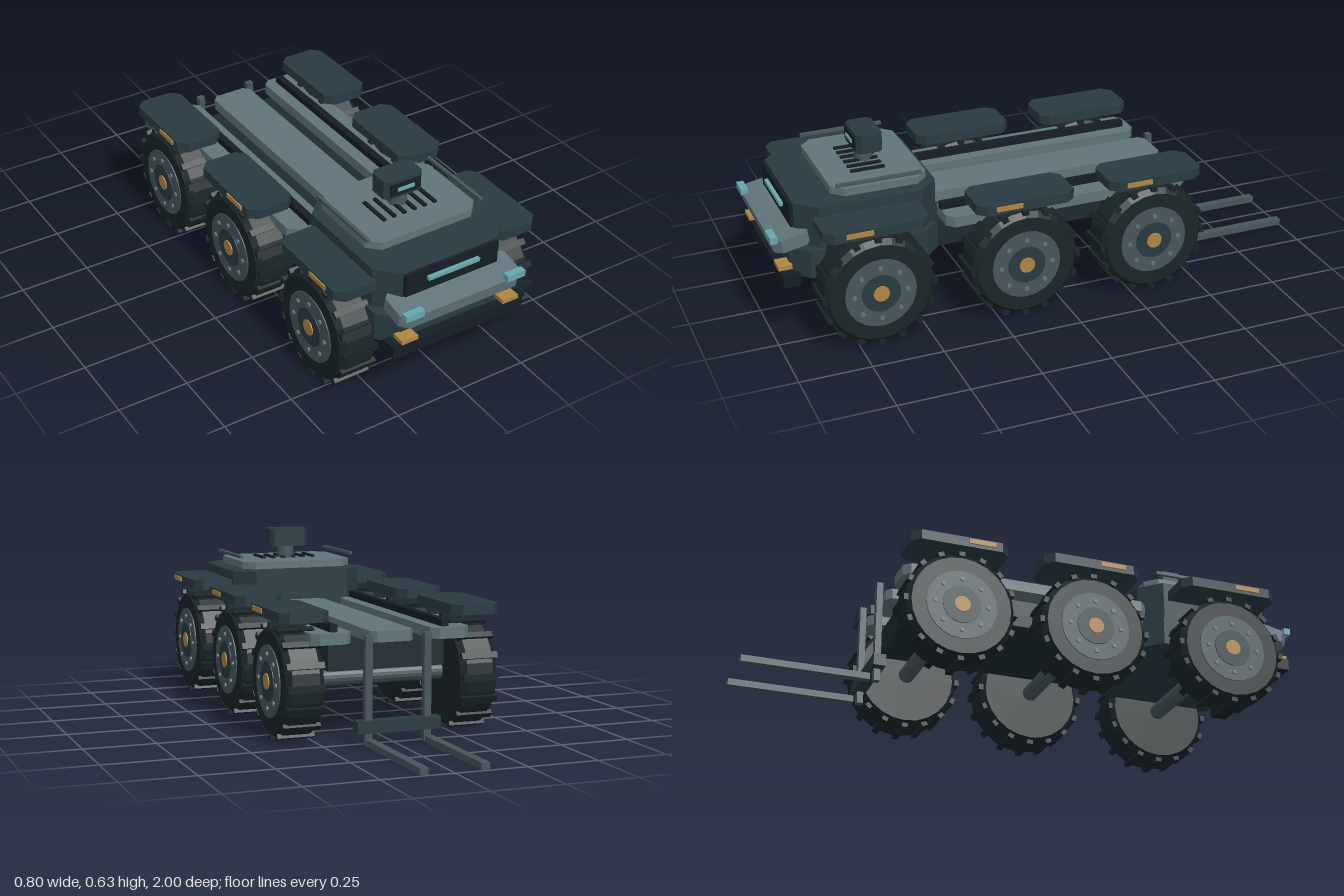
import * as THREE from 'three';

const mat = (color) => new THREE.MeshStandardMaterial({ color, flatShading: true });

export function createModel() {
  const root = new THREE.Group();
  const M = {
    body: mat(0x283b42), light: mat(0x60747a), black: mat(0x151d26), tyre: mat(0x1a2528),
    steel: mat(0x47565c), teal: mat(0x67a8af), amber: mat(0xb08642), under: mat(0x1e2b31),
  };

  const add = (parent, name, geo, material, x = 0, y = 0, z = 0) => {
    const m = new THREE.Mesh(geo, material);
    m.name = name;
    m.position.set(x, y, z);
    parent.add(m);
    return m;
  };

  // Box given by its extents
  const box = (name, material, x0, x1, y0, y1, z0, z1, parent = root) =>
    add(parent, name, new THREE.BoxGeometry(x1 - x0, y1 - y0, z1 - z0), material,
      (x0 + x1) / 2, (y0 + y1) / 2, (z0 + z1) / 2);

  // Slab with clipped corners in plan, given by its extents and corner size
  const slab = (name, material, x0, x1, y0, y1, z0, z1, c, parent = root) => {
    const w = (x1 - x0) / 2, d = (z1 - z0) / 2, h = y1 - y0;
    const shape = new THREE.Shape([
      [-w + c, -d], [w - c, -d], [w, -d + c], [w, d - c],
      [w - c, d], [-w + c, d], [-w, d - c], [-w, -d + c],
    ].map(([a, b]) => new THREE.Vector2(a, b)));
    const geo = new THREE.ExtrudeGeometry(shape, { depth: h, bevelEnabled: false });
    geo.translate(0, 0, -h / 2).rotateX(-Math.PI / 2);
    return add(parent, name, geo, material, (x0 + x1) / 2, (y0 + y1) / 2, (z0 + z1) / 2);
  };

  // Disc whose axis runs along x
  const disc = (parent, name, material, r, x0, x1, sides, y = 0, z = 0) =>
    add(parent, name, new THREE.CylinderGeometry(r, r, x1 - x0, sides).rotateZ(-Math.PI / 2),
      material, (x0 + x1) / 2, y, z);

  // Mirrored pair: calls fn(x0, x1) for both sides
  const pair = (x0, x1, fn) => { fn(x0, x1, 1); fn(-x1, -x0, -1); };

  // Chassis and cargo deck
  box('chassis', M.under, -0.21, 0.21, 0.24, 0.338, -0.44, 0.45);
  slab('centreDeck', M.light, -0.077, 0.077, 0.338, 0.376, -0.5, 0.4, 0.02);
  pair(0.143, 0.285, (a, b) => slab('sideDeck', M.light, a, b, 0.338, 0.376, -0.5, 0.4, 0.025));
  pair(0.188, 0.214, (a, b) => box('deckRail', M.black, a, b, 0.376, 0.4, -0.47, 0.4));

  // Cab
  slab('cabLower', M.body, -0.266, 0.266, 0.237, 0.337, 0.41, 0.935, 0.06);
  slab('cabUpper', M.body, -0.253, 0.253, 0.33, 0.483, 0.41, 0.905, 0.07);
  box('windscreen', M.black, -0.181, 0.181, 0.396, 0.478, 0.895, 0.917);
  box('windscreenLight', M.teal, -0.1, 0.1, 0.437, 0.45, 0.915, 0.93);

  // Sloping bonnet, lights and bumper
  const bonnet = slab('bonnet', M.light, -0.236, 0.236, 0.341, 0.387, 0.855, 0.99, 0.027);
  bonnet.rotation.x = 0.2;
  box('bumper', M.black, -0.256, 0.256, 0.214, 0.256, 0.91, 0.97);
  pair(0.163, 0.233, (a, b) => box('headlight', M.teal, a, b, 0.37, 0.393, 0.975, 1));
  pair(0.168, 0.23, (a, b) => box('indicator', M.amber, a, b, 0.266, 0.281, 0.93, 0.978));

  // Roof plate with grille slats and side rods
  slab('roofPlate', M.light, -0.215, 0.215, 0.491, 0.518, 0.44, 0.775, 0.04);
  for (let i = 0; i < 6; i++) {
    const x = -0.1 + i * 0.04;
    box('grilleSlat', M.black, x - 0.006, x + 0.006, 0.518, 0.526, 0.56, 0.68);
  }
  pair(0.215, 0.227, (a, b) => box('roofRod', M.steel, a, b, 0.531, 0.542, 0.47, 0.765));

  // Sensor head on its neck
  const sensor = new THREE.Group();
  sensor.name = 'sensor';
  root.add(sensor);
  add(sensor, 'sensorNeck', new THREE.CylinderGeometry(0.032, 0.032, 0.05, 16), M.steel, 0, 0.542, 0.605);
  slab('sensorHead', M.body, -0.075, 0.075, 0.565, 0.632, 0.553, 0.645, 0.015, sensor);
  box('sensorScreen', M.black, -0.059, 0.059, 0.577, 0.62, 0.64, 0.65, sensor);
  box('sensorLight', M.teal, -0.032, 0.032, 0.593, 0.605, 0.645, 0.655, sensor);

  // Wheel facing +x, centred on its hub
  const tyreProfile = [[0, -0.067], [0.175, -0.067], [0.192, -0.048], [0.192, 0.048], [0.175, 0.067], [0, 0.067]]
    .map(([r, h]) => new THREE.Vector2(r, h));
  const tyreGeo = new THREE.LatheGeometry(tyreProfile, 24).rotateZ(-Math.PI / 2);
  const cleatGeo = new THREE.BoxGeometry(0.132, 0.016, 0.022);
  const makeWheel = () => {
    const wheel = new THREE.Group();
    wheel.name = 'wheel';
    add(wheel, 'tyre', tyreGeo, M.tyre);
    for (let i = 0; i < 16; i++) {
      const a = (i / 16) * Math.PI * 2;
      add(wheel, 'cleat', cleatGeo, M.tyre, 0, Math.cos(a) * 0.192, Math.sin(a) * 0.192).rotation.x = a;
    }
    disc(wheel, 'rim', M.steel, 0.124, 0.05, 0.071, 24);
    disc(wheel, 'hub', M.body, 0.068, 0.06, 0.074, 20);
    disc(wheel, 'hubCap', M.amber, 0.028, 0.06, 0.078, 16);
    for (let i = 0; i < 8; i++) {
      const a = (i / 8) * Math.PI * 2;
      disc(wheel, 'bolt', M.light, 0.008, 0.06, 0.077, 8, Math.cos(a) * 0.093, Math.sin(a) * 0.093);
    }
    return wheel;
  };

  // Three axles, each with wheels, fenders and side markers
  const axles = [
    { z: 0.675, fender: [0.497, 0.858], marker: [0.695, 0.787] },
    { z: 0.155, fender: [-0.025, 0.329], marker: [0.174, 0.268] },
    { z: -0.326, fender: [-0.505, -0.157], marker: [-0.307, -0.212] },
  ];
  for (const { z, fender, marker } of axles) {
    disc(root, 'axle', M.steel, 0.029, -0.25, 0.25, 16, 0.2, z);
    pair(0.222, 0.395, (a, b, side) => {
      const wheel = makeWheel();
      wheel.position.set(0.313 * side, 0.2, z);
      if (side < 0) wheel.rotation.y = Math.PI;
      root.add(wheel);
      slab('fender', M.body, a, b, 0.415, 0.45, fender[0], fender[1], 0.03);
    });
    pair(0.385, 0.4, (a, b) => box('sideMarker', M.amber, a, b, 0.427, 0.444, marker[0], marker[1]));
  }

  // Rear fork lift
  const lift = new THREE.Group();
  lift.name = 'forkLift';
  root.add(lift);
  box('crossbar', M.body, -0.15, 0.15, 0.045, 0.087, -0.558, -0.515, lift);
  pair(0.093, 0.118, (a, b) => box('mast', M.steel, a, b, 0.003, 0.37, -0.547, -0.525, lift));
  pair(0.09, 0.119, (a, b) => box('fork', M.steel, a, b, 0.002, 0.025, -1, -0.56, lift));

  return root;
}
